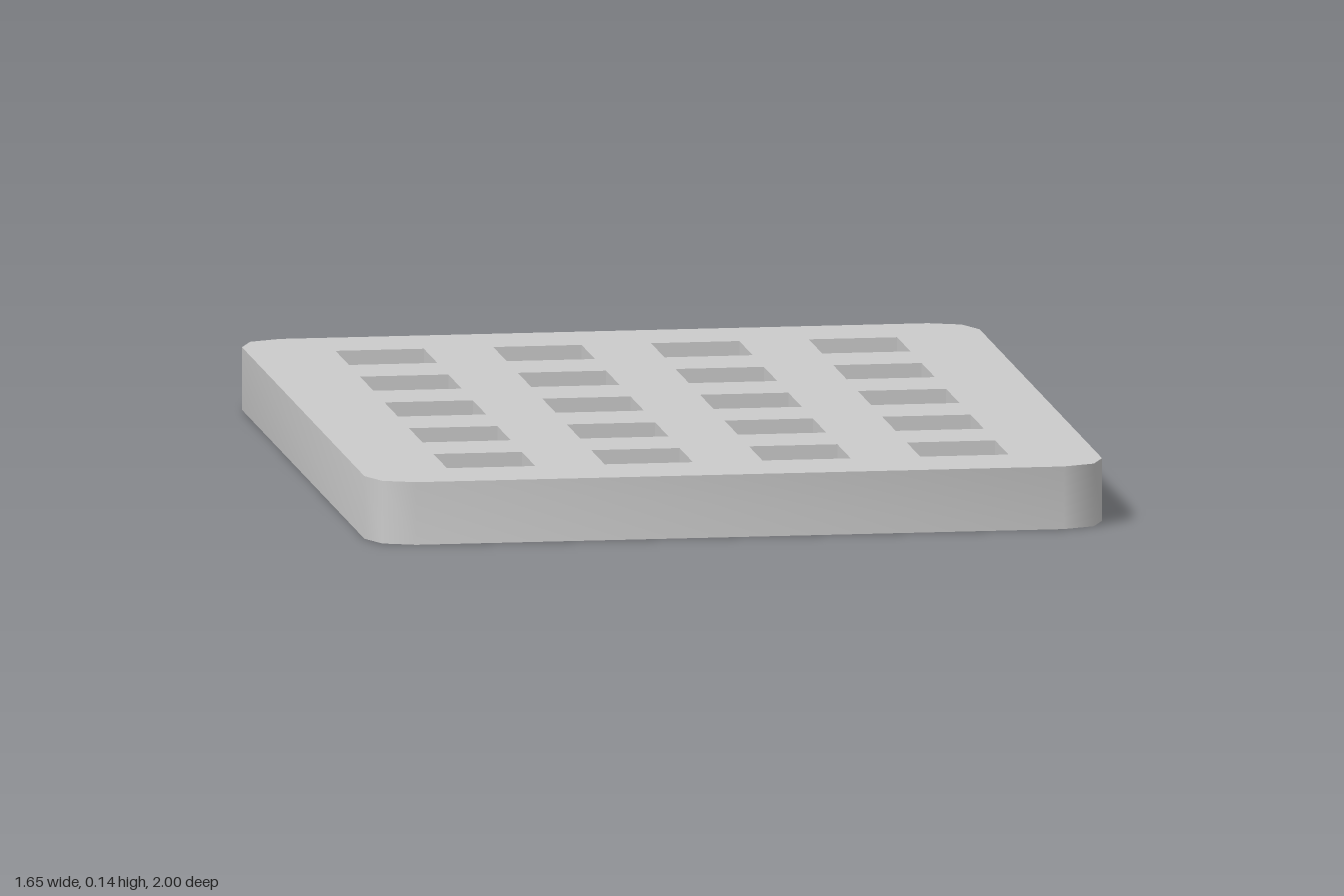
import * as THREE from 'three';
import { toCreasedNormals } from 'three/addons/utils/BufferGeometryUtils.js';

const HALF_W = 0.823, HALF_L = 1, HEIGHT = 0.14, RADIUS = 0.1;
const HOLE = 0.197, PITCH_X = 0.352, PITCH_Z = 0.36, COLS = 4, ROWS = 5;

// Rectangle outline with rounded corners
function plateOutline() {
  const x = HALF_W - RADIUS, y = HALF_L - RADIUS, q = Math.PI / 2;
  const shape = new THREE.Shape();
  [[x, y], [-x, y], [-x, -y], [x, -y]].forEach(([cx, cy], i) =>
    shape.absarc(cx, cy, RADIUS, i * q, (i + 1) * q, false));
  shape.closePath();
  return shape;
}

// Square through-hole centred on (cx, cy)
function squareHole(cx, cy) {
  const h = HOLE / 2;
  return new THREE.Path([[-h, -h], [-h, h], [h, h], [h, -h]]
    .map(([x, y]) => new THREE.Vector2(cx + x, cy + y))).closePath();
}

export function createModel() {
  const group = new THREE.Group();
  group.name = 'perforatedPlate';

  const shape = plateOutline();
  for (let c = 0; c < COLS; c++) {
    for (let r = 0; r < ROWS; r++) {
      shape.holes.push(squareHole((c - (COLS - 1) / 2) * PITCH_X, (r - (ROWS - 1) / 2) * PITCH_Z));
    }
  }

  // Two-segment corners, shaded smoothly; all right-angled edges stay sharp
  const extruded = new THREE.ExtrudeGeometry(shape, { depth: HEIGHT, bevelEnabled: false, curveSegments: 1 });
  extruded.rotateX(-Math.PI / 2);
  const plate = new THREE.Mesh(
    toCreasedNormals(extruded, 0.9),
    new THREE.MeshStandardMaterial({ color: 0xcccccc }));
  plate.name = 'plate';
  group.add(plate);
  return group;
}
